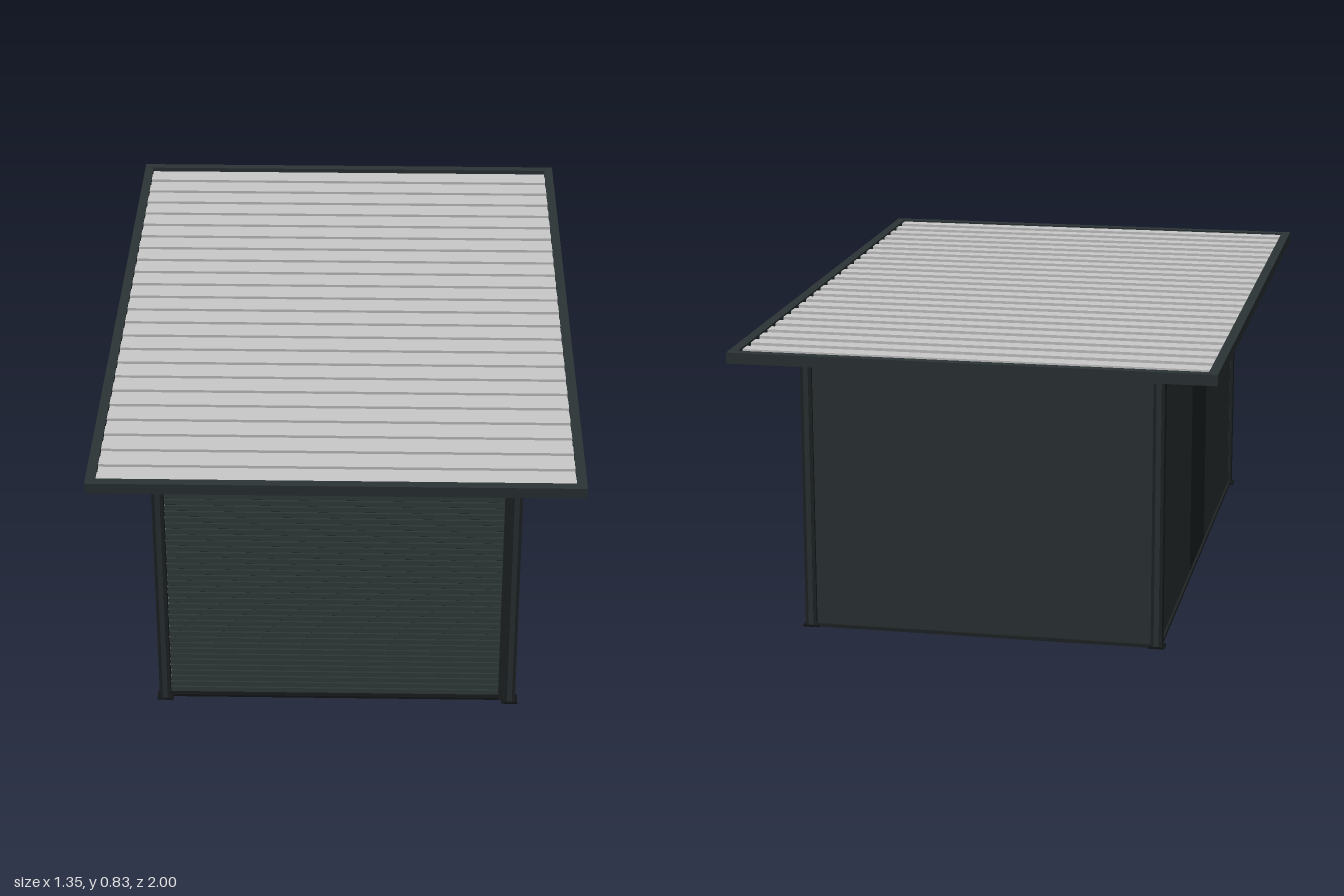
import * as THREE from 'three';

const mat = (name, color, side = THREE.FrontSide) => {
  const m = new THREE.MeshStandardMaterial({ color, side });
  m.name = name;
  return m;
};

export function createModel() {
  const wall = mat('anthracite', 0x2c3435);
  const trim = mat('dark trim', 0x1f2425);
  const black = mat('black fittings', 0x121516);
  const light = mat('light grey sheet', 0xcacaca);
  const white = mat('white lining', 0xf2f2f2);
  const slat = mat('shutter grey', 0x303939);
  const slatBack = mat('shutter inner grey', 0x414b4d);

  const model = new THREE.Group();
  model.name = 'garage';
  const group = (name) => {
    const g = new THREE.Group();
    g.name = name;
    model.add(g);
    return g;
  };
  // Box given by its extents on each axis
  const box = (parent, name, material, x, y, z) => {
    const g = new THREE.BoxGeometry(x[1] - x[0], y[1] - y[0], z[1] - z[0]);
    const m = new THREE.Mesh(g, material);
    m.position.set((x[0] + x[1]) / 2, (y[0] + y[1]) / 2, (z[0] + z[1]) / 2);
    m.name = name;
    parent.add(m);
    return m;
  };
  // Profile of [z, y] points extruded along x
  const extrudeX = (parent, name, material, points, x0, x1) => {
    const shape = new THREE.Shape(points.map(([z, y]) => new THREE.Vector2(-z, y)));
    const g = new THREE.ExtrudeGeometry(shape, { depth: x1 - x0, bevelEnabled: false });
    g.rotateY(Math.PI / 2).translate(x0, 0, 0);
    const m = new THREE.Mesh(g, material);
    m.name = name;
    parent.add(m);
    return m;
  };

  // Roof: ribbed sheet inside a fascia frame
  const roof = group('roof');
  const RX = 0.675, F = 0.027, Y0 = 0.804, Y1 = 0.835;
  for (const s of [-1, 1]) {
    const ex = [s * RX, s * (RX - F)].sort((a, b) => a - b);
    const ez = [s, s * (1 - F)].sort((a, b) => a - b);
    box(roof, 'sideFascia', wall, ex, [Y0, Y1], [-1, 1]);
    box(roof, 'endFascia', wall, [-RX + F, RX - F], [Y0, Y1], ez);
  }
  const ribs = 24, span = 2 * (1 - F), pitch = span / ribs;
  const profile = [[-span / 2, 0.808]];
  for (let i = 0; i < ribs; i++) {
    const z = -span / 2 + i * pitch;
    profile.push([z, 0.822], [z + pitch * 0.5, 0.822], [z + pitch * 0.5, 0.83], [z + pitch, 0.83]);
  }
  profile.push([span / 2, 0.808]);
  extrudeX(roof, 'ribbedRoofSheet', light, profile, -RX + F, RX - F);

  // Corner posts with foot plates
  const posts = group('cornerPosts');
  for (const sx of [-1, 1]) {
    for (const sz of [-1, 1]) {
      const px = sx * 0.497, pz = sz * 0.823;
      box(posts, 'post', trim, [px - 0.016, px + 0.016], [0, 0.807], [pz - 0.016, pz + 0.016]);
      box(posts, 'postCover', wall, [px - 0.007, px + 0.007], [0.006, 0.804], [pz - 0.018, pz + 0.018]);
      box(posts, 'footPlate', black, [px - 0.023, px + 0.023], [0, 0.005], [pz - 0.02, pz + 0.02]);
    }
  }

  // Wall along z on side s, with an inner lining
  const sideWall = (parent, name, s, z, outer, inner) => {
    const span = (a, b) => [s * a, s * b].sort((p, q) => p - q);
    box(parent, name, outer, span(0.485, 0.503), [0.006, 0.806], z);
    box(parent, name + 'Lining', inner, span(0.48, 0.485), [0.006, 0.806], z);
  };
  const rails = (parent, s) => {
    const x = [s * 0.48, s * 0.51].sort((p, q) => p - q);
    box(parent, 'baseRail', trim, x, [0, 0.01], [-0.81, 0.81]);
    box(parent, 'topRail', wall, x, [0.775, 0.807], [-0.81, 0.81]);
  };

  // Left wall with its contrasting centre panel
  const left = group('leftWall');
  sideWall(left, 'rearPanel', -1, [-0.81, -0.17], wall, light);
  sideWall(left, 'centrePanel', -1, [-0.17, 0.165], trim, white);
  sideWall(left, 'frontPanel', -1, [0.165, 0.81], wall, light);
  rails(left, -1);

  // Right wall
  const right = group('rightWall');
  sideWall(right, 'rearPanel', 1, [-0.81, -0.48], wall, light);
  sideWall(right, 'frontPanel', 1, [-0.165, 0.81], wall, light);
  rails(right, 1);

  // Back wall
  const back = group('backWall');
  box(back, 'backPanel', wall, [-0.485, 0.485], [0.006, 0.806], [-0.83, -0.812]);
  box(back, 'backLining', light, [-0.48, 0.48], [0.006, 0.806], [-0.812, -0.807]);
  box(back, 'baseRail', trim, [-0.485, 0.485], [0, 0.01], [-0.836, -0.805]);
  box(back, 'topRail', wall, [-0.485, 0.485], [0.775, 0.807], [-0.835, -0.805]);

  // Side door with frame, hinges and lever handle
  const door = group('sideDoor');
  box(door, 'doorLeaf', wall, [0.487, 0.501], [0.028, 0.75], [-0.45, -0.2]);
  box(door, 'doorLining', light, [0.48, 0.487], [0.006, 0.775], [-0.48, -0.165]);
  for (const [a, b] of [[-0.2, -0.172], [-0.473, -0.45]]) {
    box(door, 'doorJamb', trim, [0.487, 0.506], [0.006, 0.775], [a, b]);
  }
  box(door, 'doorHead', trim, [0.487, 0.506], [0.75, 0.775], [-0.45, -0.2]);
  box(door, 'threshold', trim, [0.487, 0.506], [0.006, 0.028], [-0.45, -0.2]);
  for (const z of [-0.157, -0.485]) {
    box(door, 'doorArchitrave', wall, [0.487, 0.511], [0.006, 0.775], [z - 0.012, z + 0.012]);
  }
  for (const y of [0.1, 0.355, 0.61, 0.69]) {
    const hinge = new THREE.Mesh(new THREE.CylinderGeometry(0.006, 0.006, 0.022, 10), black);
    hinge.position.set(0.514, y, -0.172);
    hinge.name = 'hinge';
    door.add(hinge);
  }
  box(door, 'handlePlate', black, [0.501, 0.518], [0.35, 0.367], [-0.458, -0.442]);
  box(door, 'handleLever', black, [0.518, 0.528], [0.355, 0.363], [-0.456, -0.415]);
  box(door, 'keyPlate', black, [0.501, 0.515], [0.32, 0.338], [-0.456, -0.444]);

  // Front roller shutter with slatted curtain, guides and header
  const front = group('rollerShutter');
  const slats = 36, h = 0.7 / slats;
  const curtain = [[0.8, 0.006]];
  for (let i = 0; i < slats; i++) {
    const y = 0.006 + i * h;
    curtain.push([0.808, y], [0.812, y + h * 0.15], [0.81, y + h * 0.85]);
  }
  curtain.push([0.808, 0.706], [0.8, 0.706]);
  extrudeX(front, 'shutterCurtain', slat, curtain, -0.485, 0.467);
  box(front, 'shutterInnerFace', slatBack, [-0.48, 0.467], [0.006, 0.706], [0.795, 0.8]);
  box(front, 'shutterGuide', trim, [0.465, 0.485], [0, 0.71], [0.795, 0.825]);
  box(front, 'shutterHeader', black, [-0.485, 0.485], [0.708, 0.778], [0.795, 0.815]);
  box(front, 'frontTopRail', wall, [-0.485, 0.485], [0.778, 0.807], [0.795, 0.835]);
  box(front, 'shutterSill', black, [-0.485, 0.485], [0, 0.006], [0.795, 0.825]);

  return model;
}
